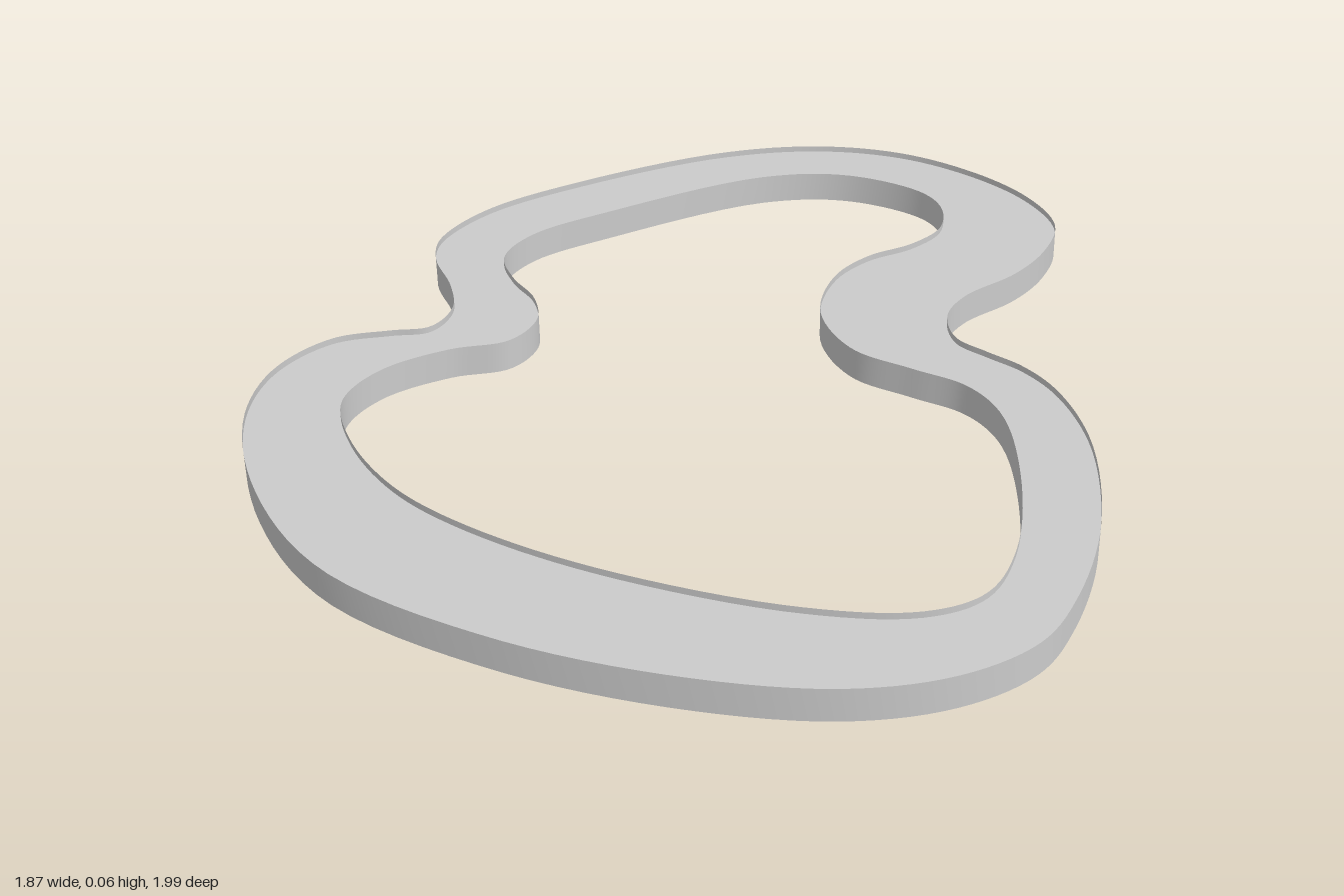
import * as THREE from 'three';

const HEIGHT = 0.065; // full wall height
const TOP = 0.052;    // top face sits slightly below the wall rims
const SAMPLES = 240;

// Outline points as x, z pairs, clockwise seen from above
const OUTER = [
  -0.30, -1.0, -0.13, -0.985, 0, -0.92, 0.065, -0.80, 0.087, -0.675, 0.077, -0.53,
  0.105, -0.44, 0.18, -0.38, 0.26, -0.38, 0.345, -0.385, 0.45, -0.36, 0.61, -0.26,
  0.795, -0.05, 0.90, 0.15, 0.935, 0.29, 0.90, 0.445, 0.795, 0.60, 0.585, 0.765,
  0.295, 0.91, -0.05, 0.99, -0.34, 0.93, -0.58, 0.79, -0.685, 0.645, -0.70, 0.50,
  -0.645, 0.40, -0.602, 0.335, -0.63, 0.255, -0.71, 0.195, -0.83, 0.14, -0.90, 0.07,
  -0.938, -0.09, -0.905, -0.315, -0.79, -0.66, -0.655, -0.85, -0.49, -0.96,
];
const INNER = [
  -0.325, -0.836, -0.235, -0.81, -0.168, -0.73, -0.16, -0.63, -0.187, -0.52, -0.175, -0.405,
  -0.085, -0.265, 0.065, -0.20, 0.20, -0.225, 0.315, -0.25, 0.425, -0.22, 0.585, -0.085,
  0.74, 0.115, 0.785, 0.25, 0.745, 0.36, 0.585, 0.50, 0.265, 0.66, 0, 0.735,
  -0.18, 0.747, -0.365, 0.705, -0.49, 0.63, -0.53, 0.51, -0.50, 0.365, -0.445, 0.26,
  -0.47, 0.165, -0.55, 0.105, -0.645, 0.08, -0.735, 0.03, -0.772, -0.08, -0.74, -0.27,
  -0.625, -0.64, -0.50, -0.78,
];

// Smooth closed loop through the outline points
function smoothLoop(flat) {
  const pts = [];
  for (let i = 0; i < flat.length; i += 2) pts.push(new THREE.Vector3(flat[i], 0, flat[i + 1]));
  return new THREE.CatmullRomCurve3(pts, true).getPoints(SAMPLES).slice(0, SAMPLES);
}

// Upright band following a loop, facing away from or into the loop
function wall(loop, outward) {
  const pos = [], index = [];
  loop.forEach((p, i) => {
    pos.push(p.x, 0, p.z, p.x, HEIGHT, p.z);
    const a = 2 * i, d = a + 1, b = 2 * ((i + 1) % loop.length), c = b + 1;
    if (outward) index.push(a, c, b, a, d, c);
    else index.push(a, b, c, a, c, d);
  });
  const geo = new THREE.BufferGeometry();
  geo.setAttribute('position', new THREE.Float32BufferAttribute(pos, 3));
  geo.setIndex(index);
  geo.computeVertexNormals();
  return geo;
}

// Flat ring between the loops; side is 1 facing up, -1 facing down
function face(outer, inner, side, y) {
  const flat = (loop) => loop.map((p) => new THREE.Vector2(p.x, -side * p.z));
  const shape = new THREE.Shape(flat(outer));
  shape.holes.push(new THREE.Path(flat(inner)));
  return new THREE.ShapeGeometry(shape).rotateX(-side * Math.PI / 2).translate(0, y, 0);
}

export function createModel() {
  const group = new THREE.Group();
  group.name = 'curvedRing';
  const material = new THREE.MeshStandardMaterial({ color: 0xcccccc, side: THREE.DoubleSide });
  const outer = smoothLoop(OUTER), inner = smoothLoop(INNER);
  const parts = {
    outerWall: wall(outer, true),
    innerWall: wall(inner, false),
    topFace: face(outer, inner, 1, TOP),
    bottomFace: face(outer, inner, -1, 0),
  };
  for (const [name, geometry] of Object.entries(parts)) {
    const mesh = new THREE.Mesh(geometry, material);
    mesh.name = name;
    group.add(mesh);
  }
  return group;
}
